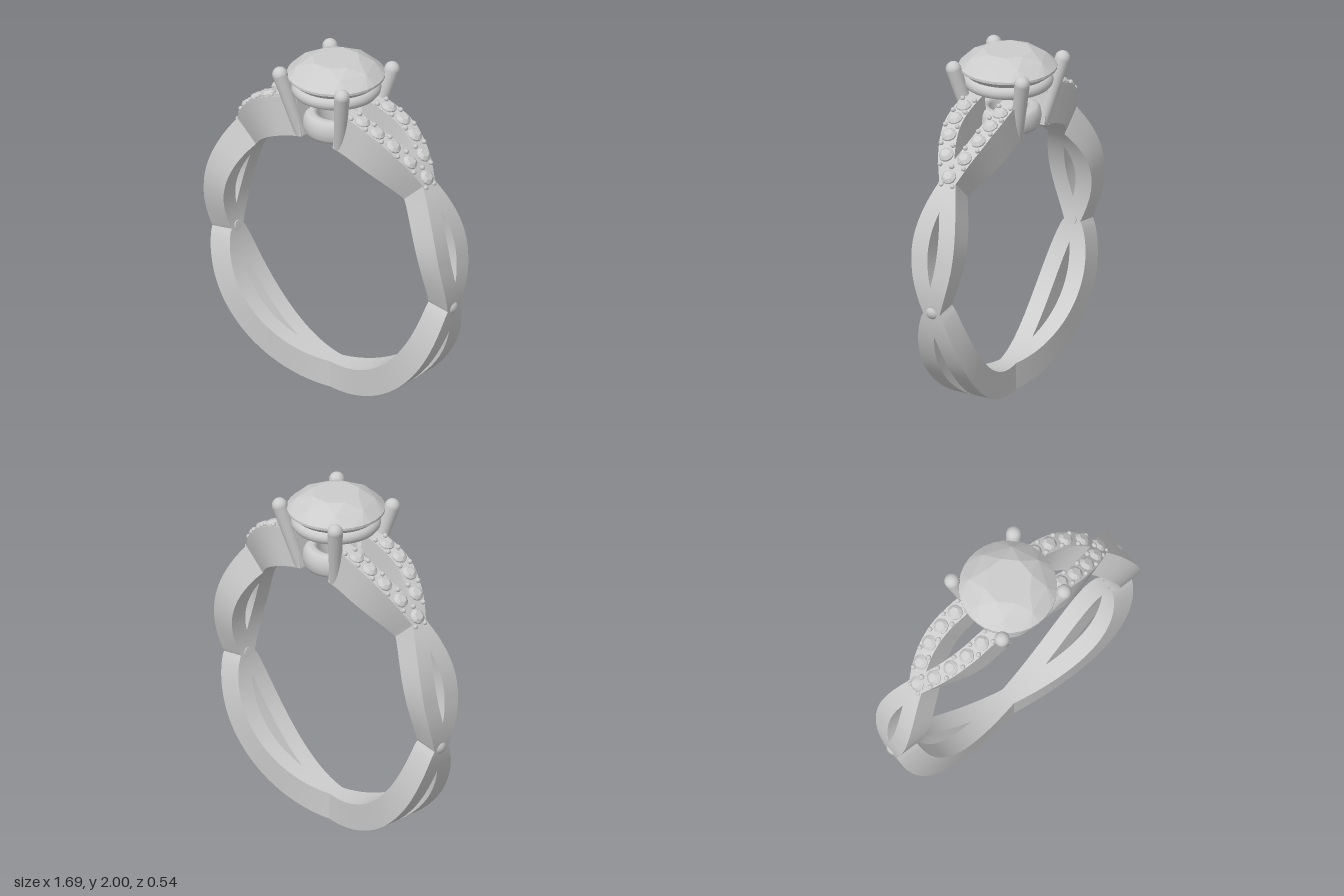
import * as THREE from 'three';
import { ConvexGeometry } from 'three/addons/geometries/ConvexGeometry.js';

const CY = 0.855;      // centre height of the finger hole
const R_IN = 0.7;      // finger hole radius
const CROSS = [48, 99, 180]; // angles from the top (degrees) where the strands cross
const rad = THREE.MathUtils.degToRad;
const metal = new THREE.MeshStandardMaterial({ color: 0xcccccc });
const facet = new THREE.MeshStandardMaterial({ color: 0xcccccc, flatShading: true });

function add(parent, name, geometry, material = metal) {
  const mesh = new THREE.Mesh(geometry, material);
  mesh.name = name;
  parent.add(mesh);
  return mesh;
}

// Outer radius of the band by angle from the top
function outerRadius(a) {
  const k = [[0, 0.93], [28, 0.928], [40, 0.905], [49, 0.875], [60, 0.862], [80, 0.842], [99, 0.838], [125, 0.848], [180, 0.855]];
  let i = 1;
  while (i < k.length - 1 && a > k[i][0]) i++;
  const t = (a - k[i - 1][0]) / (k[i][0] - k[i - 1][0]);
  return THREE.MathUtils.lerp(k[i - 1][1], k[i][1], t);
}

// Sideways offset of a strand: two woven lobes, then the spread to the head
function offset(a) {
  if (a < CROSS[0]) return 0.115 * Math.sin(Math.PI / 2 * Math.min(1, (CROSS[0] - a) / 28));
  if (a < CROSS[1]) return -0.08 * Math.sin(Math.PI * (a - CROSS[0]) / (CROSS[1] - CROSS[0]));
  const t = Math.min(1, (a - CROSS[1]) / (CROSS[2] - CROSS[1]));
  return 0.083 * Math.sin(Math.PI * Math.pow(t, 0.75));
}

// Point on the right half of the band
const bandPoint = (a, r, z) => new THREE.Vector3(r * Math.sin(rad(a)), CY + r * Math.cos(rad(a)), z);

// Rectangular section swept around the finger, sharp along its four edges
function strandGeometry(from, to, side, halfWidth, steps) {
  const pos = [], idx = [], ends = [];
  const corners = (a) => {
    const z = side * offset(a), ro = outerRadius(a), w = halfWidth;
    return [[ro, -w], [ro, w], [R_IN, w], [R_IN, -w]].map(([r, d]) => bandPoint(a, r, z + d));
  };
  for (let f = 0; f < 4; f++) {
    const base = pos.length / 3;
    for (let i = 0; i <= steps; i++) {
      const c = corners(from + (to - from) * i / steps);
      pos.push(...c[f].toArray(), ...c[(f + 1) % 4].toArray());
      if (i === steps) continue;
      const a = base + i * 2;
      idx.push(a, a + 1, a + 2, a + 1, a + 3, a + 2);
    }
  }
  for (const a of [from, to]) {
    ends.push(pos.length / 3);
    corners(a).forEach((p) => pos.push(...p.toArray()));
  }
  const [s, e] = ends;
  idx.push(s, s + 3, s + 2, s, s + 2, s + 1, e, e + 1, e + 2, e, e + 2, e + 3);
  const g = new THREE.BufferGeometry();
  g.setAttribute('position', new THREE.Float32BufferAttribute(pos, 3));
  g.setIndex(idx);
  g.computeVertexNormals();
  return g;
}

// Points of a horizontal ring
function ring(n, r, y, turn = 0) {
  return Array.from({ length: n }, (_, i) => {
    const t = (i + turn) / n * Math.PI * 2;
    return new THREE.Vector3(r * Math.cos(t), y, r * Math.sin(t));
  });
}

function createHalf() {
  const half = new THREE.Group();
  const stoneGeo = new ConvexGeometry([...ring(6, 0.026, 0.022), ...ring(12, 0.043, 0.006), ...ring(12, 0.043, -0.004), new THREE.Vector3(0, -0.04, 0)]);
  const clawGeo = new THREE.SphereGeometry(0.014, 10, 8);
  const up = new THREE.Vector3(0, 1, 0);

  const placeStone = (a, z) => {
    const stone = add(half, 'shoulderStone', stoneGeo, facet);
    stone.position.copy(bandPoint(a, outerRadius(a) + 0.002, z));
    stone.quaternion.setFromUnitVectors(up, bandPoint(a, 1, 0).sub(new THREE.Vector3(0, CY, 0)));
  };

  for (const side of [1, -1]) {
    add(half, 'wovenStrand', strandGeometry(47.5, 180, side, 0.051, 80));
    add(half, 'shoulder', strandGeometry(9, 49, side, 0.052, 28));

    // accent stones with small claws between them
    for (const a of [17.5, 24.2, 31.2, 38.6]) placeStone(a, side * offset(a));
    for (const a of [14.2, 20.8, 27.7, 34.9, 42.3]) {
      for (const edge of [-0.038, 0.038]) {
        const claw = add(half, 'stoneClaw', clawGeo);
        claw.position.copy(bandPoint(a, outerRadius(a) + 0.006, side * offset(a) + edge));
      }
    }
  }
  placeStone(46, 0);
  for (const edge of [-0.035, 0.035]) {
    add(half, 'stoneClaw', clawGeo).position.copy(bandPoint(49, outerRadius(49), edge));
  }

  // bead and pin where the strands cross at the side
  const bead = add(half, 'sideBead', new THREE.SphereGeometry(0.048, 20, 14));
  bead.position.copy(bandPoint(98.6, 0.805, 0));
  const pin = add(half, 'sidePin', new THREE.CylinderGeometry(0.028, 0.028, 0.11, 16));
  pin.position.copy(bandPoint(98.6, 0.748, 0));
  pin.rotation.z = Math.PI / 2 - rad(8.6);
  return half;
}

function createHead() {
  const head = new THREE.Group();
  head.name = 'head';

  // main cut stone
  add(head, 'centreStone', new ConvexGeometry([
    ...ring(8, 0.135, 2.0, 0.5), ...ring(8, 0.215, 1.965),
    ...ring(32, 0.27, 1.912), ...ring(32, 0.27, 1.898),
    ...ring(8, 0.15, 1.8, 0.5), new THREE.Vector3(0, 1.68, 0),
  ]), facet);

  // lower collar with an open centre
  const section = [[0.1, 1.56], [0.165, 1.555], [0.178, 1.575], [0.185, 1.615], [0.178, 1.655],
    [0.16, 1.677], [0.125, 1.68], [0.1, 1.668], [0.1, 1.56]];
  add(head, 'collar', new THREE.LatheGeometry(section.map(([x, y]) => new THREE.Vector2(x, y)), 48));

  // upper gallery ring
  const gallery = add(head, 'galleryRing', new THREE.TorusGeometry(0.21, 0.039, 14, 56));
  gallery.rotation.x = Math.PI / 2;
  gallery.position.y = 1.828;

  // four flared prongs with rounded tips
  for (const sx of [1, -1]) {
    for (const sz of [1, -1]) {
      const foot = new THREE.Vector3(sx * 0.137, 1.55, sz * 0.137);
      const tip = new THREE.Vector3(sx * 0.218, 1.917, sz * 0.218);
      const dir = tip.clone().sub(foot);
      const prong = add(head, 'prong', new THREE.CylinderGeometry(0.043, 0.032, dir.length(), 18));
      prong.position.copy(foot).lerp(tip, 0.5);
      prong.quaternion.setFromUnitVectors(new THREE.Vector3(0, 1, 0), dir.normalize());
      add(head, 'prongTip', new THREE.SphereGeometry(0.043, 18, 12)).position.copy(tip);
    }
  }
  return head;
}

export function createModel() {
  const model = new THREE.Group();
  model.name = 'ring';
  const left = createHalf();
  left.name = 'leftHalf';
  const right = createHalf();
  right.name = 'rightHalf';
  right.rotation.y = Math.PI;
  model.add(left, right, createHead());
  return model;
}
